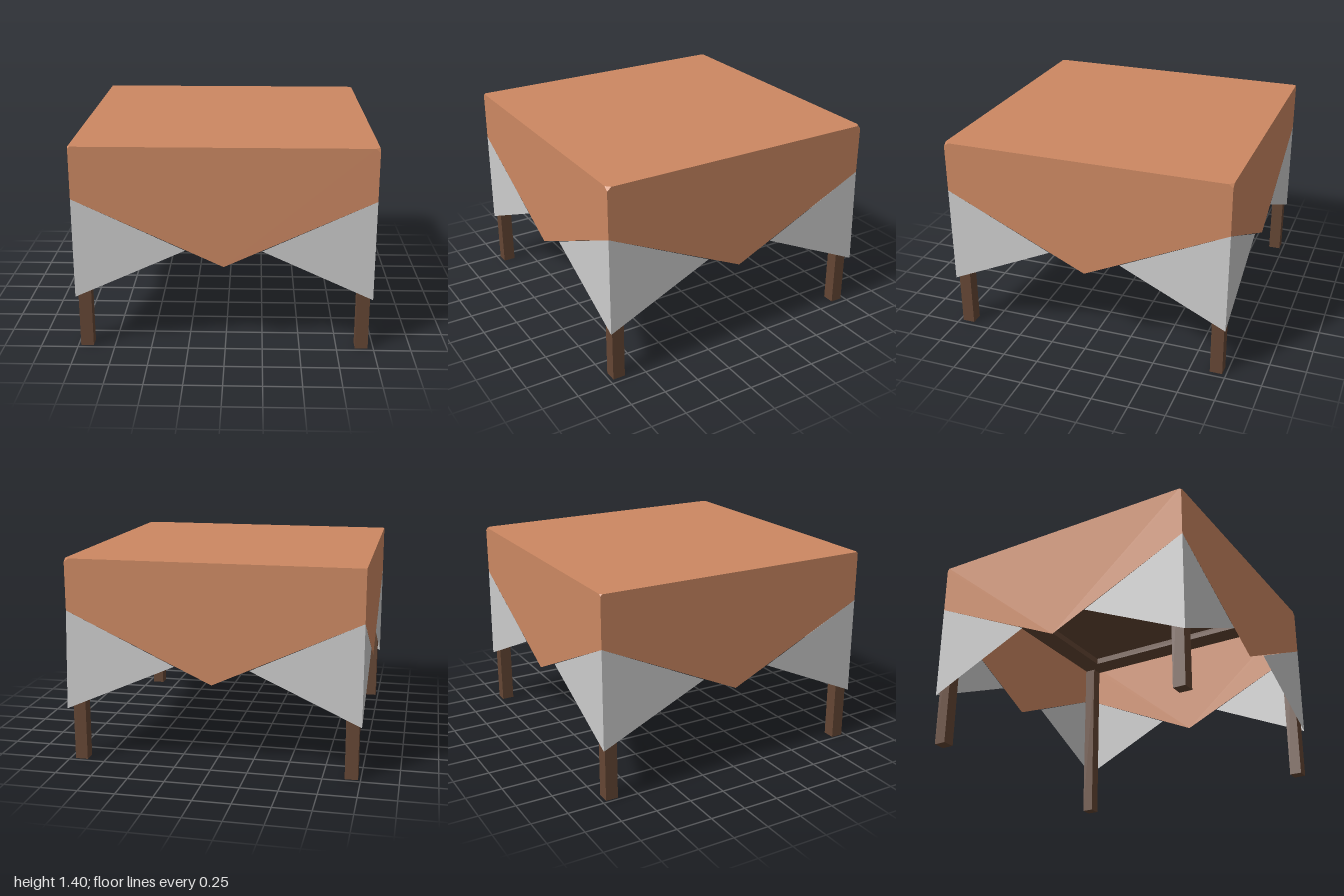
import * as THREE from 'three';

const H = 0.99;          // half width of the cloth
const CX = -0.01;        // centre of the table in x
const TOP = 1.4, EDGE = 1.05, POINT = 0.59, TIP = 0.365, NOTCH = 0.703;

// Flat convex polygons, each a list of points counter-clockwise from outside
function polygons(list) {
  const pos = [];
  for (const p of list) {
    for (let i = 1; i < p.length - 1; i++) {
      for (const v of [p[0], p[i], p[i + 1]]) pos.push(v.x, v.y, v.z);
    }
  }
  const g = new THREE.BufferGeometry();
  g.setAttribute('position', new THREE.Float32BufferAttribute(pos, 3));
  g.computeVertexNormals();
  return g;
}

export function createModel() {
  const group = new THREE.Group();
  const orange = new THREE.MeshStandardMaterial({ color: 0xcc8862, side: THREE.DoubleSide });
  orange.name = 'terracotta cloth';
  const grey = new THREE.MeshStandardMaterial({ color: 0xcccccc, side: THREE.DoubleSide });
  grey.name = 'pale grey cloth';
  const wood = new THREE.MeshStandardMaterial({ color: 0x644634 });
  wood.name = 'dark wood';

  const add = (name, geometry, material, x = 0, y = 0, z = 0) => {
    const mesh = new THREE.Mesh(geometry, material);
    mesh.name = name;
    mesh.position.set(x, y, z);
    group.add(mesh);
  };
  const box = (name, w, h, d, x, y, z) => add(name, new THREE.BoxGeometry(w, h, d), wood, x, y, z);

  // Cloth corners, in order around the table; cut = small clipped top corner
  const corners = [[-1, 1, 0.015], [1, 1, 0.03], [1, -1, 0.03], [-1, -1, 0.015]].map(([sx, sz, cut]) => ({
    at: (y) => new THREE.Vector3(CX + sx * H, y, sz * H),
    // the back left tip swings slightly outward
    tip: new THREE.Vector3(sx > 0 && sz < 0 ? 1 : CX + sx * H, TIP, sz * H),
    cut,
  }));
  const toward = (a, b) => a.at(TOP).lerp(b.at(TOP), a.cut / (2 * H));
  const along = (a, b, t, y) => a.at(y).lerp(b.at(y), t);

  const topOutline = [], sides = [], clips = [], hanging = [];
  corners.forEach((a, i) => {
    const b = corners[(i + 1) % 4], prev = corners[(i + 3) % 4];
    topOutline.push(toward(a, prev), toward(a, b));
    clips.push([a.at(TOP - a.cut * 0.85), toward(a, b), toward(a, prev)]);
    // Pointed side flap
    sides.push([along(a, b, 0.5, POINT), b.at(EDGE), b.at(TOP - b.cut * 0.85), toward(b, a),
      toward(a, b), a.at(TOP - a.cut * 0.85), a.at(EDGE)]);
    // Grey triangles beside both corners of the flap
    hanging.push([a.at(EDGE), a.tip, along(a, b, 0.373, NOTCH)]);
    hanging.push([b.at(EDGE), along(a, b, 0.627, NOTCH), b.tip]);
  });
  add('clothTop', polygons([topOutline, ...clips]), orange);
  add('clothSideFlaps', polygons(sides), orange);
  add('clothCornerFlaps', polygons(hanging), grey);

  // Table top and the frame under it
  box('tableTop', 1.94, 0.035, 1.94, CX, 1.3675, 0);
  for (const s of [-1, 1]) {
    box('frameRailFrontBack', 1.94, 0.05, 0.17, CX, 1.325, s * 0.885);
    box('frameRailSide', 0.17, 0.05, 1.6, CX + s * 0.885, 1.325, 0);
    // Legs
    for (const t of [-1, 1]) box('leg', 0.086, 1.3, 0.086, CX + s * 0.929, 0.65, t * 0.931);
  }
  return group;
}
